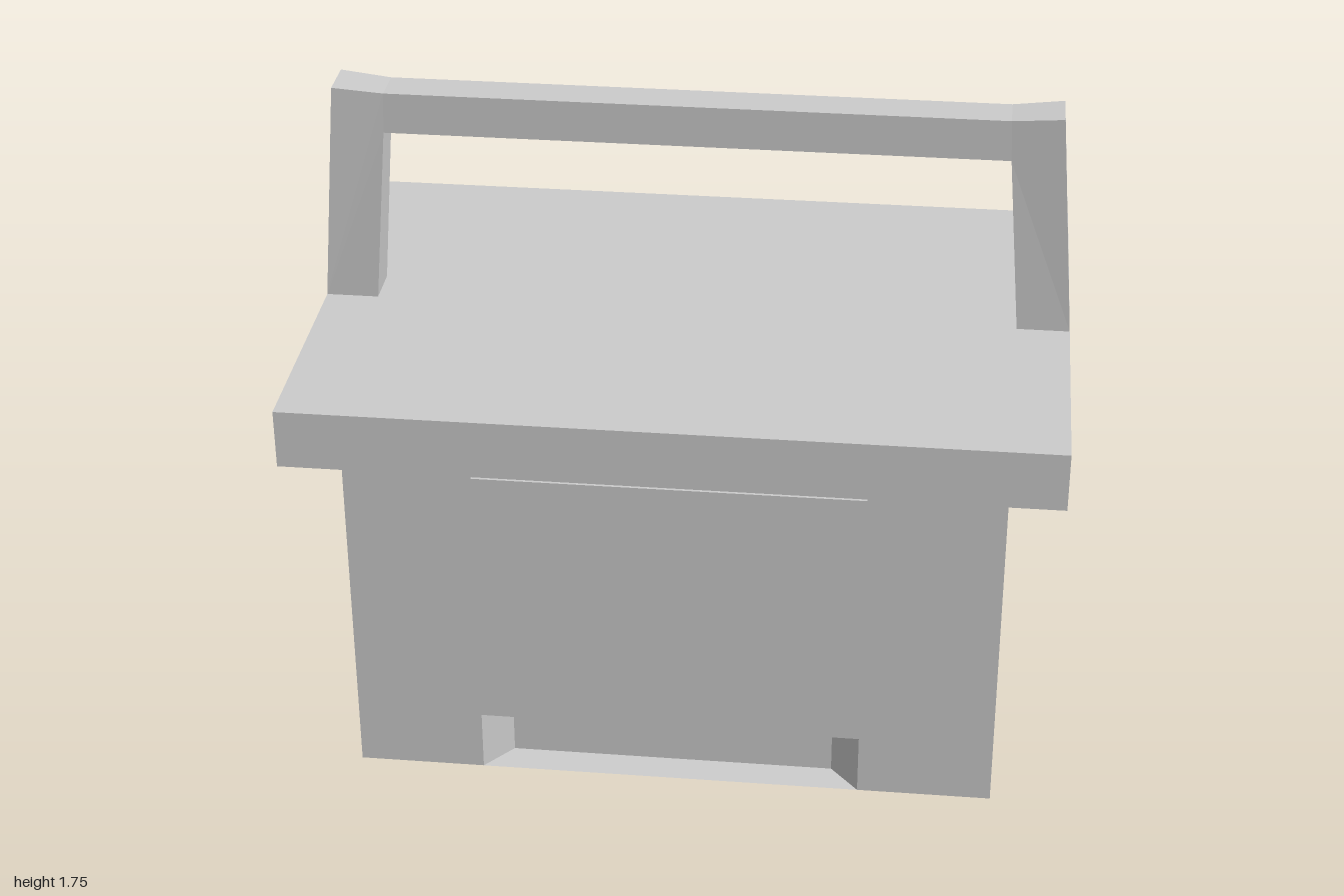
import * as THREE from 'three';

const material = new THREE.MeshStandardMaterial({ color: 0xcccccc, flatShading: true });

const W = 0.857, D = 0.577, H = 0.985; // body half width, half depth, height

function addMesh(parent, name, geometry) {
  const mesh = new THREE.Mesh(geometry, material);
  mesh.name = name;
  parent.add(mesh);
  return mesh;
}

function addBox(parent, name, x0, x1, y0, y1, z0, z1) {
  const geometry = new THREE.BoxGeometry(x1 - x0, y1 - y0, z1 - z0);
  geometry.translate((x0 + x1) / 2, (y0 + y1) / 2, (z0 + z1) / 2);
  return addMesh(parent, name, geometry);
}

// Four-sided faces, corners counter-clockwise seen from outside
function quads(list) {
  const positions = [];
  for (const [a, b, c, d] of list) positions.push(...a, ...b, ...c, ...a, ...c, ...d);
  const geometry = new THREE.BufferGeometry();
  geometry.setAttribute('position', new THREE.Float32BufferAttribute(positions, 3));
  geometry.computeVertexNormals();
  return geometry;
}

// Rectangular pocket sunk into a wall facing +z; the inner rectangle may be smaller
function pocket(x0, x1, y0, y1, insetX, insetY, depth) {
  const outer = [[x0, y0, D], [x1, y0, D], [x1, y1, D], [x0, y1, D]];
  const inner = [
    [x0 + insetX, y0 + insetY, D - depth], [x1 - insetX, y0 + insetY, D - depth],
    [x1 - insetX, y1 - insetY, D - depth], [x0 + insetX, y1 - insetY, D - depth],
  ];
  const faces = [inner];
  for (let i = 0; i < 4; i++) {
    const j = (i + 1) % 4;
    faces.push([outer[i], outer[j], inner[j], inner[i]]);
  }
  return quads(faces);
}

// Wall with a grip notch at the bottom and, if wanted, a finger notch at the top
function wall(name, x0, x1, fingerNotch) {
  const group = new THREE.Group();
  group.name = name;
  const gripTop = 0.17, notchBottom = 0.92;
  const shape = new THREE.Shape();
  shape.moveTo(-W, 0);
  shape.lineTo(x0, 0);
  shape.lineTo(x0, gripTop);
  shape.lineTo(x1, gripTop);
  shape.lineTo(x1, 0);
  shape.lineTo(W, 0);
  shape.lineTo(W, H);
  if (fingerNotch) {
    shape.lineTo(x1, H);
    shape.lineTo(x1, notchBottom);
    shape.lineTo(x0, notchBottom);
    shape.lineTo(x0, H);
    addMesh(group, 'fingerNotch', pocket(x0, x1, notchBottom, H, 0, 0, 0.03));
  }
  shape.lineTo(-W, H);
  addMesh(group, 'wallPanel', new THREE.ShapeGeometry(shape).translate(0, 0, D));
  addMesh(group, 'gripRecess', pocket(x0, x1, 0, gripTop, 0.075, 0.012, 0.07));
  return group;
}

// Box body: notched front and back walls, plain sides and base
function makeBody() {
  const body = new THREE.Group();
  body.name = 'body';
  body.add(wall('frontWall', -0.52, 0.5, true));
  const back = wall('backWall', -0.5, 0.52, false);
  back.rotation.y = Math.PI;
  body.add(back);
  addMesh(body, 'sidesAndBase', quads([
    [[W, 0, D], [W, 0, -D], [W, H, -D], [W, H, D]],
    [[-W, 0, -D], [-W, 0, D], [-W, H, D], [-W, H, -D]],
    [[-W, 0, -D], [W, 0, -D], [W, 0, D], [-W, 0, D]],
  ]));
  return body;
}

// Carrying handle: splayed legs, slightly raised corners and a slimmer bar
function makeHandle() {
  const half = [[0.86, 1.145], [1, 1.145], [0.95, 1.755], [0.815, 1.742]];
  const outline = [
    ...half,
    ...half.map(([x, y]) => [-x, y]).reverse(),
    [-0.82, 1.63], [0.82, 1.63],
  ];
  const shape = new THREE.Shape(outline.map(([x, y]) => new THREE.Vector2(x, y)));
  const thickness = 0.12;
  const geometry = new THREE.ExtrudeGeometry(shape, { depth: thickness, bevelEnabled: false });
  geometry.translate(0, 0, -thickness / 2);
  const p = geometry.attributes.position;
  for (let i = 0; i < p.count; i++) {
    const onBar = Math.abs(p.getX(i)) < 0.83;
    p.setZ(i, p.getZ(i) * (onBar ? 0.88 : 1) - 0.024);
  }
  geometry.computeVertexNormals();
  const mesh = new THREE.Mesh(geometry, material);
  mesh.name = 'handle';
  return mesh;
}

export function createModel() {
  const model = new THREE.Group();
  model.name = 'coolBox';
  model.add(makeBody());
  addBox(model, 'lid', -1, 1, H, 1.145, -0.673, 0.673);
  model.add(makeHandle());
  return model;
}
